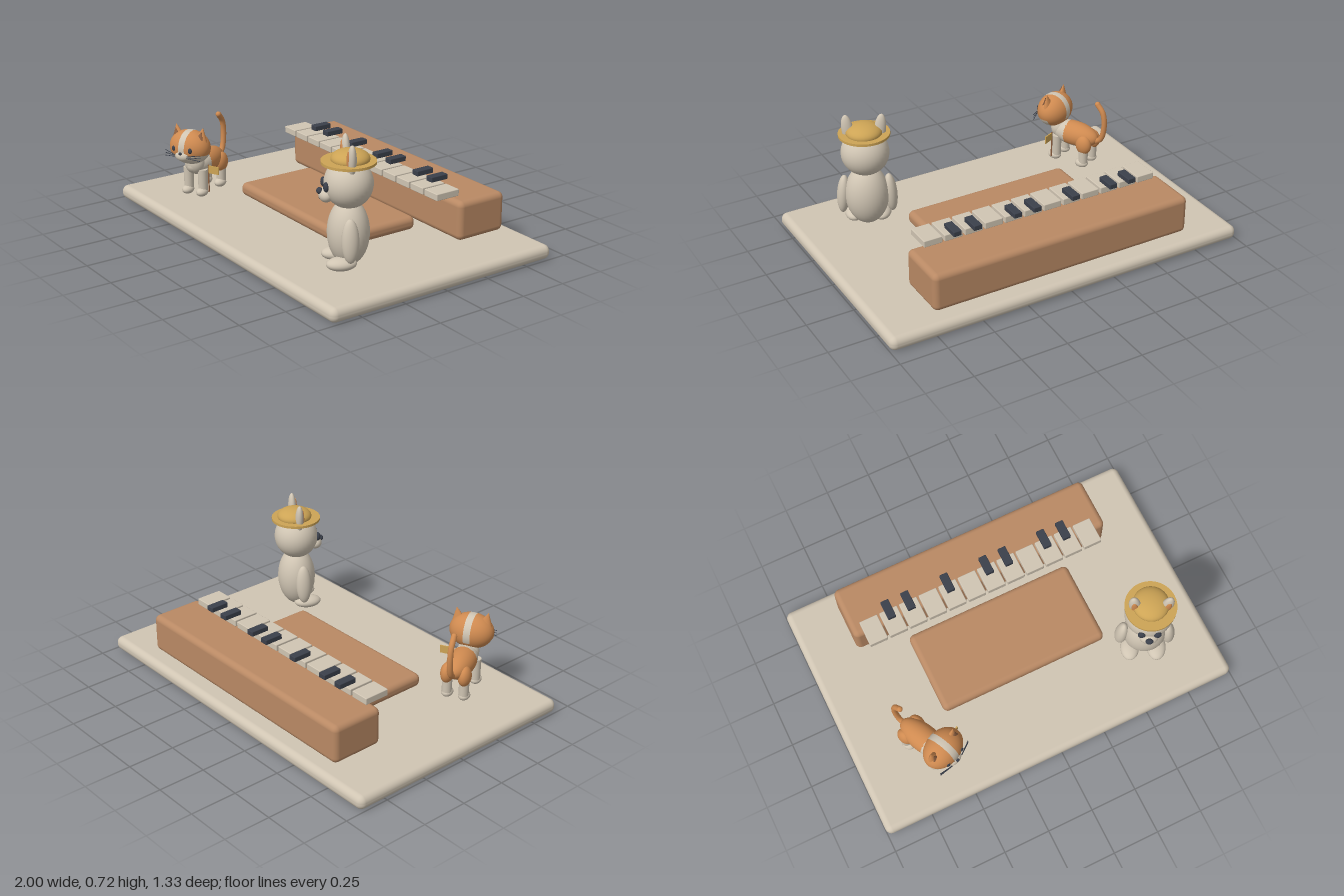
import * as THREE from 'three';
import { RoundedBoxGeometry } from 'three/addons/geometries/RoundedBoxGeometry.js';

const paint = (name, color) => {
  const m = new THREE.MeshStandardMaterial({ color });
  m.name = name;
  return m;
};

export function createModel() {
  const cream = paint('cream', 0xd0c5b3);
  const wood = paint('wood', 0xb98964);
  const dark = paint('charcoal', 0x3b404b);
  const straw = paint('straw', 0xcda455);
  const orange = paint('orange fur', 0xcf8a50);
  const brown = paint('brown', 0x8f6040);

  const model = new THREE.Group();
  model.name = 'keyboardScene';

  const add = (parent, name, geo, mat, x, y, z) => {
    const m = new THREE.Mesh(geo, mat);
    m.name = name;
    m.position.set(x, y, z);
    parent.add(m);
    return m;
  };
  const egg = (rx, ry, rz, w = 32, h = 24) => new THREE.SphereGeometry(1, w, h).scale(rx, ry, rz);

  // Sphere with poles on the x axis, its faces sorted into two materials by a rule
  const twoTone = (rx, ry, rz, isSecond) => {
    const g = new THREE.SphereGeometry(1, 72, 60).rotateZ(Math.PI / 2).scale(rx, ry, rz);
    const p = g.attributes.position, idx = g.index.array, sets = [[], []];
    for (let i = 0; i < idx.length; i += 3) {
      const f = [idx[i], idx[i + 1], idx[i + 2]];
      const mid = (k) => f.reduce((s, v) => s + p.getComponent(v, k), 0) / 3;
      sets[isSecond(mid(0), mid(1), mid(2)) ? 1 : 0].push(...f);
    }
    g.setIndex([...sets[0], ...sets[1]]);
    g.clearGroups();
    g.addGroup(0, sets[0].length, 0);
    g.addGroup(sets[0].length, sets[1].length, 1);
    return g;
  };

  // Floor slab, mat and piano body
  add(model, 'floorSlab', new RoundedBoxGeometry(2, 0.075, 1.33, 5, 0.034), cream, 0, 0.0375, 0);
  add(model, 'mat', new RoundedBoxGeometry(0.935, 0.072, 0.455, 5, 0.03), wood, 0, 0.12, -0.003);
  add(model, 'pianoBody', new RoundedBoxGeometry(1.46, 0.206, 0.29, 5, 0.03), wood, 0, 0.188, -0.44);

  // Keys
  const keys = new THREE.Group();
  keys.name = 'keys';
  model.add(keys);
  const keyX = (i) => -0.628 + i * 0.1123;
  for (let i = 0; i < 12; i++) {
    add(keys, 'whiteKey', new RoundedBoxGeometry(0.1, 0.036, 0.14, 2, 0.004), cream, keyX(i), 0.316, -0.276);
  }
  for (const i of [1, 2, 4, 6, 7, 9, 10]) {
    add(keys, 'blackKey', new RoundedBoxGeometry(0.044, 0.028, 0.102, 2, 0.004), dark, keyX(i), 0.35, -0.337);
  }

  // Standing animal with a straw hat
  const bear = new THREE.Group();
  bear.name = 'standingAnimal';
  bear.position.set(0.643, 0, 0.32);
  bear.rotation.y = -0.45;
  model.add(bear);
  add(bear, 'body', egg(0.113, 0.165, 0.102), cream, 0, 0.26, 0);
  add(bear, 'head', egg(0.124, 0.12, 0.118), cream, 0, 0.503, 0);
  add(bear, 'muzzle', egg(0.048, 0.036, 0.036), cream, 0, 0.452, 0.107);
  add(bear, 'nose', egg(0.02, 0.016, 0.015), dark, 0, 0.473, 0.138);
  add(bear, 'mouth', egg(0.012, 0.004, 0.004, 12, 8), dark, 0, 0.437, 0.137);
  for (const s of [-1, 1]) {
    add(bear, 'eye', egg(0.02, 0.024, 0.014), dark, s * 0.04, 0.502, 0.113);
    const ear = new THREE.Group();
    ear.name = 'ear';
    ear.position.set(s * 0.082, 0.635, 0);
    ear.rotation.z = -s * 0.12;
    bear.add(ear);
    add(ear, 'outerEar', egg(0.03, 0.082, 0.022), cream, 0, 0, 0);
    add(ear, 'innerEar', egg(0.017, 0.058, 0.008), orange, 0, -0.005, 0.018);
    const arm = add(bear, 'arm', egg(0.034, 0.108, 0.042), cream, s * 0.121, 0.257, 0.012);
    arm.rotation.z = s * 0.08;
    add(bear, 'foot', egg(0.05, 0.033, 0.074), cream, s * 0.07, 0.126, 0.045);
  }
  // Hat
  add(bear, 'hatBrim', new THREE.CylinderGeometry(0.132, 0.132, 0.013, 48), straw, 0, 0.61, 0);
  add(bear, 'hatCrown', egg(0.093, 0.047, 0.093), straw, 0, 0.623, -0.008);

  // Cat
  const cat = new THREE.Group();
  cat.name = 'cat';
  cat.position.set(-0.635, 0, 0.34);
  cat.rotation.y = 0.44;
  model.add(cat);
  add(cat, 'body', twoTone(0.07, 0.068, 0.145, (x, y, z) => z > 0.035 || y < -0.045), [orange, cream], 0, 0.258, 0);
  add(cat, 'chest', egg(0.056, 0.062, 0.05), cream, 0, 0.272, 0.095);
  for (const s of [-1, 1]) {
    for (const [z, name] of [[0.09, 'frontLeg'], [-0.085, 'backLeg']]) {
      add(cat, name, new THREE.CylinderGeometry(0.027, 0.025, 0.13, 20), cream, s * 0.045, 0.175, z);
      add(cat, 'paw', egg(0.03, 0.024, 0.038, 20, 14), cream, s * 0.045, 0.115, z + 0.01);
    }
    add(cat, 'thigh', egg(0.034, 0.055, 0.046), orange, s * 0.046, 0.23, -0.085);
  }
  const tailPath = new THREE.CatmullRomCurve3([
    [0, 0.24, -0.12], [0, 0.27, -0.165], [0, 0.35, -0.185], [0, 0.43, -0.175], [0, 0.475, -0.14],
  ].map((p) => new THREE.Vector3(...p)));
  add(cat, 'tail', new THREE.TubeGeometry(tailPath, 32, 0.015, 12), orange, 0, 0, 0);
  add(cat, 'tailTip', egg(0.015, 0.015, 0.015, 16, 12), orange, 0, 0.475, -0.14);

  // Cat head, with a pale stripe and a pale lower face
  const head = new THREE.Group();
  head.name = 'catHead';
  head.position.set(0, 0.372, 0.133);
  cat.add(head);
  add(head, 'skull', twoTone(0.116, 0.092, 0.088,
    (x, y, z) => (Math.abs(x) < 0.02 && y > -0.04) || (y < -0.028 && z > -0.02)), [orange, cream], 0, 0, 0);
  add(head, 'muzzle', egg(0.042, 0.026, 0.024), cream, 0, -0.032, 0.075);
  add(head, 'nose', egg(0.01, 0.008, 0.008, 16, 12), dark, 0, -0.014, 0.094);
  for (const s of [-1, 1]) {
    add(head, 'eye', egg(0.012, 0.015, 0.008, 20, 14), dark, s * 0.05, 0.004, 0.077);
    const ear = add(head, 'ear', new THREE.ConeGeometry(0.038, 0.075, 24).scale(1, 1, 0.6), orange, s * 0.077, 0.079, 0);
    ear.rotation.z = -s * 0.2;
    const inner = add(head, 'innerEar', new THREE.ConeGeometry(0.022, 0.048, 20).scale(1, 1, 0.4), brown, s * 0.077, 0.075, 0.015);
    inner.rotation.set(-0.2, 0, -s * 0.2);
    for (const k of [-1, 0, 1]) {
      const whisker = add(head, 'whisker', new THREE.CylinderGeometry(0.0018, 0.0018, 0.075, 6), dark,
        s * 0.073, -0.03 + k * 0.01, 0.08);
      whisker.rotation.set(0, s * 0.25, Math.PI / 2 + s * k * 0.14);
    }
  }

  // Small flag beside the cat
  add(cat, 'flagPole', new THREE.CylinderGeometry(0.004, 0.004, 0.15, 10), brown, 0.087, 0.197, 0.096);
  add(cat, 'flag', new THREE.BoxGeometry(0.062, 0.042, 0.006), straw, 0.12, 0.248, 0.096);

  return model;
}
